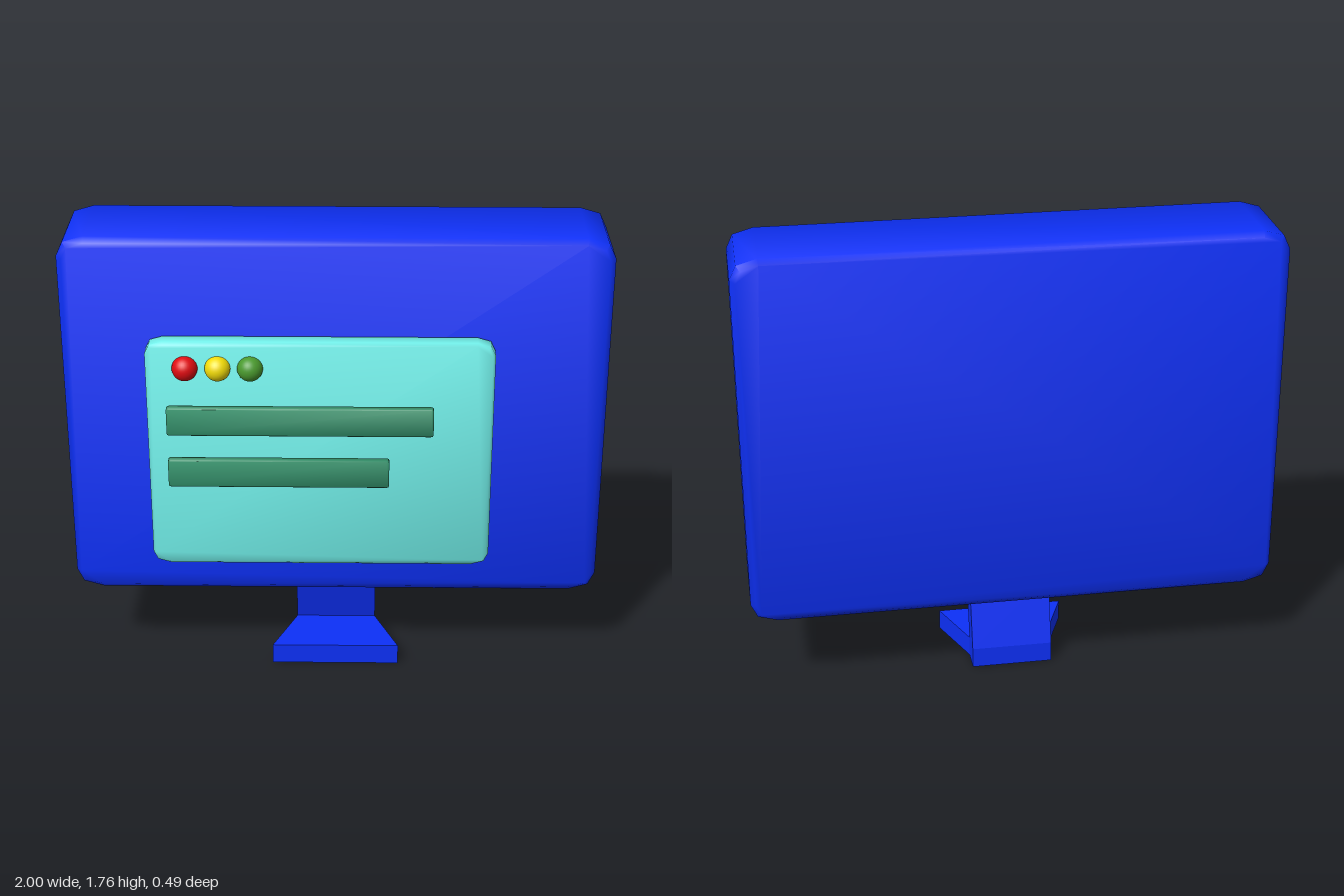
import * as THREE from 'three';
import { toCreasedNormals } from 'three/addons/utils/BufferGeometryUtils.js';

const paint = (color) => new THREE.MeshStandardMaterial({ color });
const blue = paint(0x0d30f8);
const aqua = paint(0x70eee8);
const darkGreen = paint(0x32906a);

function addMesh(parent, name, geometry, material) {
  const mesh = new THREE.Mesh(geometry, material);
  mesh.name = name;
  parent.add(mesh);
  return mesh;
}

// Slab with two-step clipped corners and a narrow bevel, softly shaded
function slab(x0, x1, y0, y1, z0, z1, corner, bevel) {
  const w = (x1 - x0) / 2, h = (y1 - y0) / 2, c = corner;
  const quarter = [[w, h - c * 0.75], [w - c * 0.25, h - c * 0.22], [w - c, h]];
  const points = [];
  for (const [sx, sy] of [[1, 1], [-1, 1], [-1, -1], [1, -1]]) {
    const part = quarter.map(([x, y]) => new THREE.Vector2(x * sx, y * sy));
    points.push(...(sx * sy > 0 ? part : part.reverse()));
  }
  const geometry = new THREE.ExtrudeGeometry(new THREE.Shape(points), {
    depth: z1 - z0 - 2 * bevel,
    bevelThickness: bevel, bevelSize: bevel, bevelOffset: -bevel, bevelSegments: 1,
  });
  geometry.translate((x0 + x1) / 2, (y0 + y1) / 2, z0 + bevel);
  return toCreasedNormals(geometry, 0.95);
}

export function createModel() {
  const model = new THREE.Group();
  model.name = 'monitor';

  // Housing and raised window panel
  addMesh(model, 'housing', slab(-1, 1, 0.32, 1.76, -0.245, 0.125, 0.1, 0.02), blue);
  addMesh(model, 'windowPanel', slab(-0.69, 0.58, 0.475, 1.39, 0.125, 0.197, 0.065, 0.01), aqua);

  // Bars floating just in front of the panel
  addMesh(model, 'upperBar', slab(-0.615, 0.36, 1.04, 1.15, 0.216, 0.246, 0.01, 0.003), darkGreen);
  addMesh(model, 'lowerBar', slab(-0.615, 0.2, 0.83, 0.94, 0.216, 0.246, 0.01, 0.003), darkGreen);

  // Row of round buttons
  const buttons = [['redButton', -0.545, 0xe00c12], ['yellowButton', -0.426, 0xf2dc08], ['greenButton', -0.308, 0x4a9a2e]];
  for (const [name, x, color] of buttons) {
    addMesh(model, name, new THREE.SphereGeometry(0.047, 32, 20), paint(color)).position.set(x, 1.29, 0.198);
  }

  // Leaning neck: side profile drawn as (-z, y), extruded across the width
  const stand = new THREE.Group();
  stand.name = 'stand';
  model.add(stand);
  const neckProfile = new THREE.Shape([
    [0.075, 0], [0.165, 0], [0.165, 0.08], [0.094, 0.345], [0.003, 0.345], [0.075, 0.08],
  ].map(([z, y]) => new THREE.Vector2(z, y)));
  const neck = new THREE.ExtrudeGeometry(neckProfile, { depth: 0.31, bevelEnabled: false });
  neck.translate(0, 0, -0.155).rotateY(Math.PI / 2);
  addMesh(stand, 'neck', neck, blue);

  // Foot widening toward the front: plan drawn as (x, -z), extruded upward
  const footPlan = new THREE.Shape([
    [-0.245, -0.147], [0.245, -0.147], [0.155, 0.075], [-0.155, 0.075],
  ].map(([x, z]) => new THREE.Vector2(x, z)));
  const foot = new THREE.ExtrudeGeometry(footPlan, { depth: 0.08, bevelEnabled: false });
  foot.rotateX(-Math.PI / 2);
  addMesh(stand, 'foot', foot, blue);

  return model;
}
